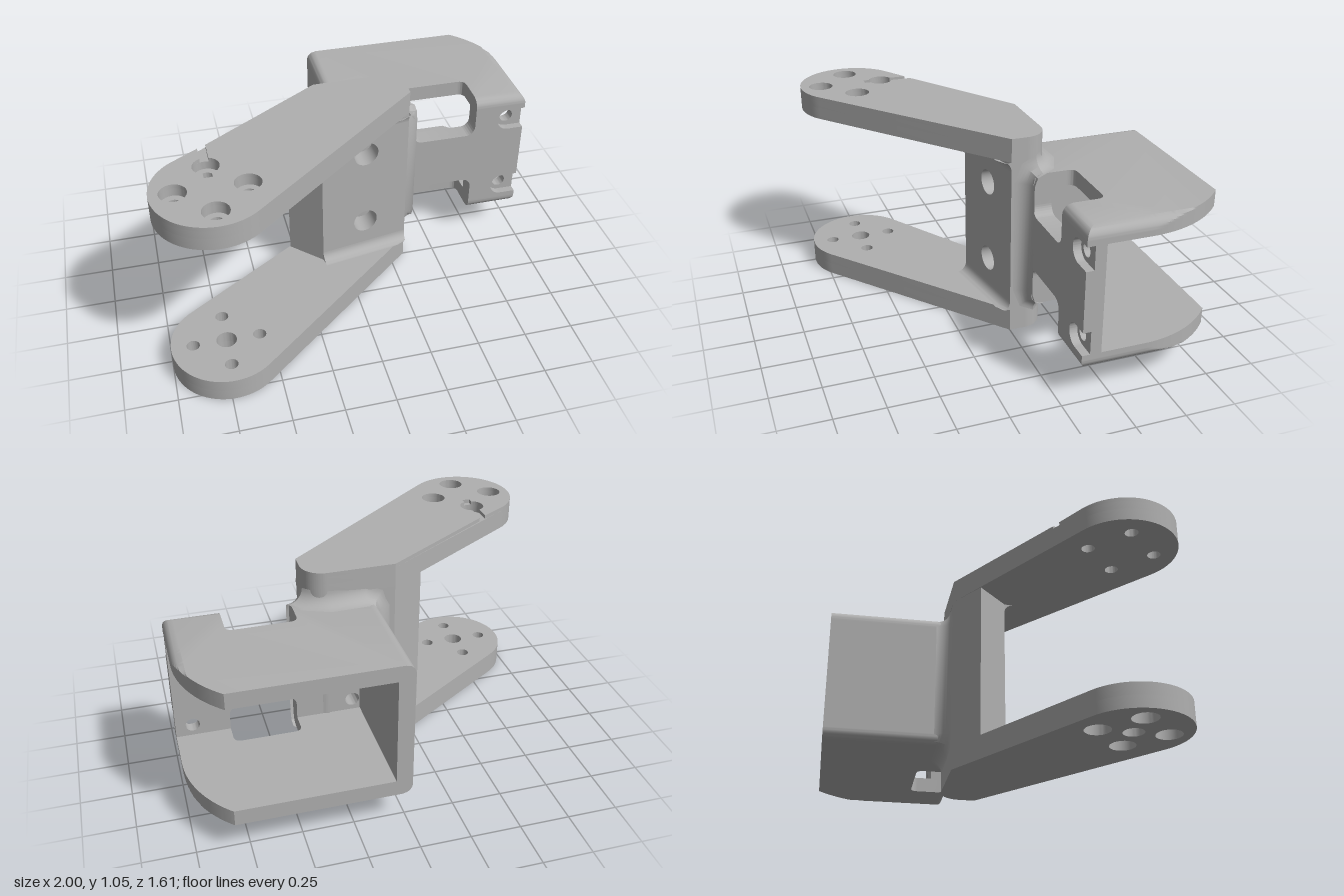
import * as THREE from 'three';
import { toCreasedNormals } from 'three/addons/utils/BufferGeometryUtils.js';

const MID = 0.525;                       // height of the mirror plane
const BACK = -0.185;                     // back face of the web
const V = (x, y, z) => new THREE.Vector3(x, y, z);

export function createModel() {
  const model = new THREE.Group();
  const grey = new THREE.MeshStandardMaterial({ color: 0xb0b0b0, side: THREE.DoubleSide });
  grey.name = 'grey plastic';

  const add = (name, geo) => {
    const mesh = new THREE.Mesh(toCreasedNormals(geo, 0.5), grey);
    mesh.name = name;
    model.add(mesh);
    return mesh;
  };
  const extrude = (shape, depth, steps = 1) =>
    new THREE.ExtrudeGeometry(shape, { depth, steps, bevelEnabled: false, curveSegments: 20 });
  // shape drawn in x/z, filling y0..y1
  const slab = (shape, y0, y1, steps) =>
    extrude(shape, y1 - y0, steps).rotateX(Math.PI / 2).translate(0, y1, 0);
  // shape drawn in x/y, filling z0..z1
  const plate = (shape, z0, z1) => extrude(shape, z1 - z0).translate(0, 0, z0);
  const poly = (pts) => new THREE.Shape(pts.map(([x, y]) => new THREE.Vector2(x, y)));
  const drill = (shape, x, y, r) => {
    shape.holes.push(new THREE.Path().absarc(x, y, r, 0, Math.PI * 2, true));
    return shape;
  };

  // concave fillet swept through stations [corner, direction a, direction b]
  const fillet = (stations, r, closed) => {
    const n = 8, pos = [], index = [], rows = stations.length;
    for (const [p, a, b] of stations) {
      for (let i = 0; i <= n; i++) {
        const t = (i / n) * Math.PI / 2;
        const q = p.clone().addScaledVector(a, r * (1 - Math.sin(t))).addScaledVector(b, r * (1 - Math.cos(t)));
        pos.push(q.x, q.y, q.z);
      }
      pos.push(p.x, p.y, p.z);
    }
    const w = n + 2;
    for (let s = 0; s < (closed ? rows : rows - 1); s++) {
      const u = s * w, v = ((s + 1) % rows) * w;
      for (let i = 0; i < n; i++) index.push(u + i, u + i + 1, v + i, u + i + 1, v + i + 1, v + i);
    }
    if (!closed) for (const u of [0, (rows - 1) * w])
      for (let i = 0; i < n; i++) index.push(u + n + 1, u + i, u + i + 1);
    const g = new THREE.BufferGeometry();
    g.setAttribute('position', new THREE.Float32BufferAttribute(pos, 3));
    g.setIndex(index);
    return g;
  };

  // ---- Arms -------------------------------------------------------------
  const C = { x: -0.73, z: 0.535 }, R = 0.27, ring = 0.163, small = 0.032, bore = 0.062;
  const armShape = (groove) => {
    const s = new THREE.Shape();
    s.moveTo(0.33, 0);
    s.lineTo(0.33, -0.08);
    s.absarc(0.22, -0.08, 0.11, 0, -Math.PI / 2, true);
    s.lineTo(-0.12, BACK);
    if (groove) {
      // key slot running in from the edge and through the rear screw seat
      const z = C.z - ring, h = 0.02, d = Math.sqrt(bore * bore - h * h), k = Math.atan2(d, h);
      s.lineTo(C.x + h, 0.208);
      s.lineTo(C.x + h, z - d);
      s.absarc(C.x, z, bore, -k, k, false);
      s.lineTo(C.x + h, 0.46);
      s.lineTo(C.x - h, 0.46);
      s.lineTo(C.x - h, z + d);
      s.absarc(C.x, z, bore, Math.PI - k, Math.PI + k, false);
      s.lineTo(C.x - h, 0.23);
    }
    s.absarc(C.x, C.z, R, THREE.MathUtils.degToRad(237.2), THREE.MathUtils.degToRad(49.9), true);
    s.closePath();
    return s;
  };
  const ringHoles = (shape, r, skipRear) => {
    for (const [dx, dz] of [[ring, 0], [-ring, 0], [0, ring], [0, -ring]])
      if (!(skipRear && dz < 0)) drill(shape, C.x + dx, C.z + dz, r);
    return shape;
  };
  add('upperArmInner', slab(ringHoles(armShape(), small), 0.93, 0.99));
  add('upperArmSeats', slab(ringHoles(armShape(), bore), 0.99, 1.03));
  add('upperArmSlot', slab(ringHoles(armShape(true), bore, true), 1.03, 1.05));
  const axle = (s) => drill(s, C.x, C.z, 0.05);
  add('lowerArmInner', slab(axle(ringHoles(armShape(), small)), 0.06, 0.12));
  add('lowerArmSeats', slab(axle(ringHoles(armShape(), bore)), 0, 0.06));

  // ---- Web between the arms ------------------------------------------------
  const front = (x) => 0.08 - (0.08 / 0.47) * (x + 0.14);
  add('webLeftEdge', slab(poly([[-0.02, front(-0.02)], [-0.14, 0.08], [-0.29, -0.07],
    [-0.12, BACK], [-0.02, BACK]]), 0.12, 0.93));
  const corner = new THREE.Shape();
  corner.moveTo(0.22, front(0.22));
  corner.lineTo(0.33, 0);
  corner.lineTo(0.33, -0.08);
  corner.absarc(0.22, -0.08, 0.11, 0, -Math.PI / 2, true);
  corner.closePath();
  add('webRightEdge', slab(corner, 0.12, 0.93));
  const screwY = [0.31, 0.74];
  const webPanel = (r) => {
    const s = poly([[-0.02, 0.12], [0.22, 0.12], [0.22, 0.93], [-0.02, 0.93]]);
    screwY.forEach((y) => drill(s, 0.1, y, r));
    return s;
  };
  const face = plate(webPanel(0.065), -0.08, 0.05), fp = face.attributes.position;
  for (let i = 0; i < fp.count; i++) if (fp.getZ(i) > 0) fp.setZ(i, front(fp.getX(i)));
  add('webFace', face);
  add('webBack', plate(webPanel(0.036), BACK, -0.08));
  for (const s of [1, -1]) {
    const y = MID + s * 0.405, a = V(0.17, 0, 0.985), b = V(0, -s, 0);
    add('webFillet', fillet([[V(0.33, y, 0), V(0, 0, 0.6), b], [V(0.27, y, front(0.27)), a, b],
      [V(-0.14, y, 0.08), a, b]], 0.05, false));
  }

  // ---- Open box ----------------------------------------------------------------
  const side = new THREE.Shape();
  side.moveTo(-0.02, -0.81);
  side.lineTo(0.82, -0.81);
  side.absarc(0.443, -0.4, 0.557, -0.827, 0, false);
  side.lineTo(1, -0.09);
  side.lineTo(0.73, -0.09);
  side.lineTo(0.73, -0.26);
  side.quadraticCurveTo(0.73, -0.3, 0.69, -0.3);
  side.lineTo(0.43, -0.3);
  side.quadraticCurveTo(0.39, -0.3, 0.39, -0.26);
  side.lineTo(0.39, -0.09);
  side.lineTo(-0.02, -0.09);
  side.closePath();
  for (const [name, y0, y1] of [['boxTop', 0.8, 0.88], ['boxBottom', 0.17, 0.25]]) {
    const g = slab(side, y0, y1, 12), p = g.attributes.position, r = 0.05;
    // round the outer long edges
    for (let i = 0; i < p.count; i++) {
      const h = Math.max(0, Math.abs(p.getY(i) - MID) - (0.355 - r));
      const inset = r - Math.sqrt(Math.max(0, r * r - h * h));
      p.setX(i, THREE.MathUtils.clamp(p.getX(i), -0.02 + inset, 1 - inset));
      p.setZ(i, Math.min(p.getZ(i), -0.09 - inset));
    }
    add(name, g);
  }
  add('boxSideWall', new THREE.BoxGeometry(0.08, 0.55, 0.625).translate(0.02, MID, -0.4975));

  // front wall with corner windows; the outer layer has open screw seats
  const wall = (seats) => {
    const s = new THREE.Shape(), q = Math.PI / 2;
    s.moveTo(0.22, 0.25);
    s.lineTo(0.39, 0.25);
    s.lineTo(0.39, 0.33);
    s.absarc(0.44, 0.33, 0.05, Math.PI, q, true);
    s.absarc(0.68, 0.33, 0.05, q, 0, true);
    s.lineTo(0.73, 0.25);
    if (seats) {
      s.absarc(0.915, screwY[0], 0.06, -q, -3 * q, true);
      s.lineTo(1, 0.37);
      s.lineTo(1, 0.68);
      s.absarc(0.915, screwY[1], 0.06, -q, -3 * q, true);
    } else {
      s.lineTo(1, 0.25);
      s.lineTo(1, 0.8);
    }
    s.lineTo(0.73, 0.8);
    s.lineTo(0.73, 0.72);
    s.absarc(0.68, 0.72, 0.05, 0, -q, true);
    s.absarc(0.44, 0.72, 0.05, -q, -2 * q, true);
    s.lineTo(0.39, 0.8);
    s.lineTo(0.22, 0.8);
    s.closePath();
    if (!seats) screwY.forEach((y) => drill(s, 0.915, y, 0.035));
    return s;
  };
  add('boxFrontInner', plate(wall(false), BACK, -0.13));
  add('boxFrontOuter', plate(wall(true), -0.13, -0.09));

  // ---- Flared joint around the neck of the box -------------------------------------
  const half = [
    [V(0.33, 0.82, -0.09), V(1, 0, 0), V(0, 0, 1)],
    [V(0.33, 0.865, -0.105), V(1, 0, 0), V(0, 0.7, 0.7)],
    [V(0.33, 0.88, -0.125), V(0.98, 0, -0.2), V(0, 1, 0)],
    [V(0.298, 0.88, -0.158), V(0.7, 0, -0.7), V(0, 1, 0)],
    [V(0.22, 0.88, -0.19), V(0, 0, -1), V(0, 1, 0)],
    [V(0.03, 0.88, BACK), V(0, 0, -1), V(0, 1, 0)],
    [V(-0.005, 0.865, BACK), V(0, 0, -1), V(-0.7, 0.7, 0)],
    [V(-0.02, 0.83, BACK), V(0, 0, -1), V(-1.3, 0, 0.05)],
  ];
  const flip = half.map(([p, a, b]) => [V(p.x, 2 * MID - p.y, p.z), a, V(b.x, -b.y, b.z)]).reverse();
  add('neckFlare', fillet([...half, ...flip], 0.075, true));

  return model;
}
